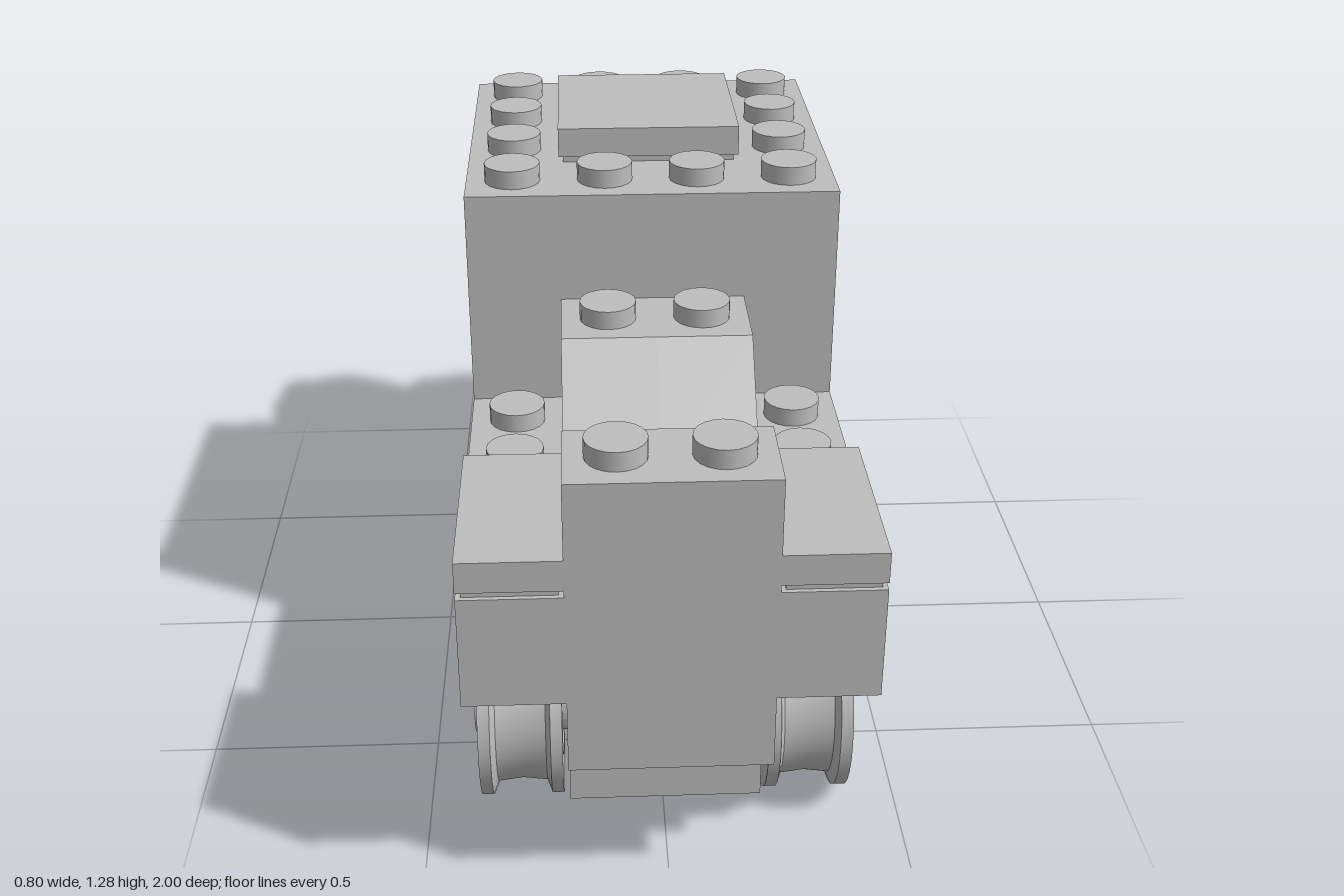
import * as THREE from 'three';
import { mergeGeometries, toCreasedNormals } from 'three/addons/utils/BufferGeometryUtils.js';

const P = 0.2;          // stud pitch
const BRICK = 0.24, PLATE = 0.08;
const LIFT = 0.003;     // small lift of the body over the wheels
const grey = new THREE.MeshStandardMaterial({ color: 0xbebebe });
grey.name = 'light grey';

const flat = (g) => (g.index ? g.toNonIndexed() : g);
const join = (list) => mergeGeometries(list.map(flat));
const box = (w, h, d, x, y, z) => new THREE.BoxGeometry(w, h, d).translate(x, y, z);
const ring = (points, segments) => toCreasedNormals(
  new THREE.LatheGeometry(points.map(([r, y]) => new THREE.Vector2(r, y)), segments), 0.5);
const stud = (x, y, z) => new THREE.CylinderGeometry(0.06, 0.06, 0.04, 20).translate(x, y + 0.02, z);

// Extrude a shape without bevel
const extrude = (shape, depth) => new THREE.ExtrudeGeometry(shape, { depth, bevelEnabled: false, curveSegments: 16 });

function rect(path, w, h) {
  return path.moveTo(-w / 2, -h / 2).lineTo(w / 2, -h / 2).lineTo(w / 2, h / 2).lineTo(-w / 2, h / 2).closePath();
}

// Cross-shaped axle hole
function crossHole(a = 0.06, b = 0.02) {
  const pts = [[a, -b], [a, b], [b, b], [b, a], [-b, a], [-b, b], [-a, b], [-a, -b], [-b, -b], [-b, -a], [b, -a], [b, -b]];
  return new THREE.Path(pts.map(([x, y]) => new THREE.Vector2(x, y)));
}

function disc(r, holes) {
  const s = new THREE.Shape().absarc(0, 0, r, 0, Math.PI * 2);
  s.holes.push(...holes);
  return s;
}

// Hollow brick, nx by nz studs, with its base at y = 0
function brickGeometry(nx, nz, h) {
  const w = nx * P, d = nz * P, wall = 0.035, top = 0.025;
  const frame = rect(new THREE.Shape(), w, d);
  frame.holes.push(rect(new THREE.Path(), w - 2 * wall, d - 2 * wall));
  const parts = [
    extrude(frame, h - top).rotateX(-Math.PI / 2),
    box(w, top, d, 0, h - top / 2, 0),
  ];
  for (let i = 0; i < nx; i++) for (let k = 0; k < nz; k++) {
    const x = (i + 0.5) * P - w / 2, z = (k + 0.5) * P - d / 2;
    parts.push(stud(x, h, z));
    // tubes or posts between the studs on the underside
    if (nx > 1 && nz > 1) {
      if (i < nx - 1 && k < nz - 1) {
        parts.push(ring([[0.06, 0], [0.081, 0], [0.081, h - top], [0.06, h - top], [0.06, 0]], 20)
          .translate(x + P / 2, 0, z + P / 2));
      }
    } else if (nx > 1 ? i < nx - 1 : k < nz - 1) {
      parts.push(new THREE.CylinderGeometry(0.035, 0.035, h - top, 14)
        .translate(nx > 1 ? x + P / 2 : 0, (h - top) / 2, nx > 1 ? 0 : z + P / 2));
    }
  }
  return join(parts);
}

// Smooth tile with a groove round its foot
function tileGeometry(nx, nz) {
  const w = nx * P, d = nz * P;
  return join([
    box(w, 0.065, d, 0, 0.0475, 0),
    box(w - 0.02, 0.015, d - 0.02, 0, 0.0075, 0),
  ]);
}

// Round 2 x 2 brick with an axle hole
function roundGeometry(h) {
  const parts = [
    extrude(disc(0.199, [crossHole()]), h).rotateX(-Math.PI / 2),
    new THREE.CylinderGeometry(0.2, 0.2, h, 40, 1, true).translate(0, h / 2, 0),
  ];
  for (const x of [-0.1, 0.1]) for (const z of [-0.1, 0.1]) parts.push(stud(x, h, z));
  return join(parts);
}

// Sloped windscreen brick, one stud wide
function slopeGeometry() {
  const profile = [[-0.2, 0], [0.2, 0], [0.2, 0.035], [0, BRICK], [-0.2, BRICK]];
  const s = new THREE.Shape(profile.map(([z, y]) => new THREE.Vector2(z, y)));
  return join([extrude(s, P).rotateY(-Math.PI / 2).translate(P / 2, 0, 0), stud(0, BRICK, -0.1)]);
}

// Wheel along +x: rim, slotted web and hub
function wheelGeometry() {
  const rim = ring([
    [0.145, 0.213], [0.22, 0.213], [0.22, 0.238], [0.193, 0.248], [0.187, 0.3],
    [0.193, 0.352], [0.22, 0.362], [0.22, 0.387], [0.145, 0.387], [0.145, 0.213],
  ], 32).rotateZ(-Math.PI / 2);
  const holes = [new THREE.Path().absarc(0, 0, 0.08, 0, Math.PI * 2)];
  for (let i = 0; i < 4; i++) {
    const a = i * Math.PI / 2 + 0.3, b = a + 0.97;
    holes.push(new THREE.Path().absarc(0, 0, 0.125, a, b, false).absarc(0, 0, 0.096, b, a, true).closePath());
  }
  const web = extrude(disc(0.15, holes), 0.05).rotateY(Math.PI / 2).translate(0.32, 0, 0);
  const hub = extrude(disc(0.088, [crossHole()]), 0.2).rotateY(Math.PI / 2).translate(0.2, 0, 0);
  const pin = new THREE.CylinderGeometry(0.062, 0.062, 0.16, 16).rotateZ(Math.PI / 2).translate(0.28, 0, 0);
  return join([rim, web, hub, pin]);
}

export function createModel() {
  const model = new THREE.Group();
  model.name = 'brickTruck';
  const add = (name, geometry, x, y, z) => {
    const mesh = new THREE.Mesh(geometry, grey);
    mesh.name = name;
    mesh.position.set(x, y, z);
    model.add(mesh);
    return mesh;
  };
  const brick = (name, nx, nz, h, x, y, z) => add(name, brickGeometry(nx, nz, h), x, y + LIFT, z);

  // Chassis
  brick('lowerChassisPlate', 2, 10, PLATE, 0, 0.32, 0);
  brick('upperChassisPlate', 2, 8, PLATE, 0, 0.40, 0.2);
  add('roundChassisPlate', roundGeometry(PLATE), 0, 0.40 + LIFT, -0.8);

  // Body base
  brick('frontBase', 4, 2, BRICK, 0, 0.48, 0.8);
  brick('rearBase', 4, 2, BRICK, 0, 0.48, -0.8);

  for (const s of [1, -1]) {
    const side = s > 0 ? 'left' : 'right';
    brick(side + 'MiddleBase', 2, 6, BRICK, s * 0.2, 0.48, 0);

    // Cab, two layers of square bricks
    for (const y of [0.72, 0.96]) for (const z of [0, -0.4]) {
      brick(side + 'CabBrick', 2, 2, BRICK, s * 0.2, y, z);
    }

    add(side + 'Windscreen', slopeGeometry(), s * 0.1, 0.72 + LIFT, 0.4);
    add(side + 'FenderTile', tileGeometry(1, 2), s * 0.3, 0.72 + LIFT, 0.8);
    add(side + 'Barrel', roundGeometry(BRICK), s * 0.2, 0.72 + LIFT, -0.8);

    // Axle holders and wheels
    for (const [end, z] of [['Front', 0.6], ['Rear', -0.6]]) {
      brick(side + end + 'AxleHolder', 1, 2, BRICK, s * 0.1, 0.08, z);
      const wheel = add(side + end + 'Wheel', wheelGeometry(), 0, 0.22, z);
      if (s < 0) wheel.rotation.y = Math.PI;
    }
  }

  // Grille and roof
  brick('grilleBrick', 2, 1, BRICK, 0, 0.72, 0.9);
  add('roofTile', tileGeometry(2, 2), 0, 1.2 + LIFT, -0.2);
  return model;
}
